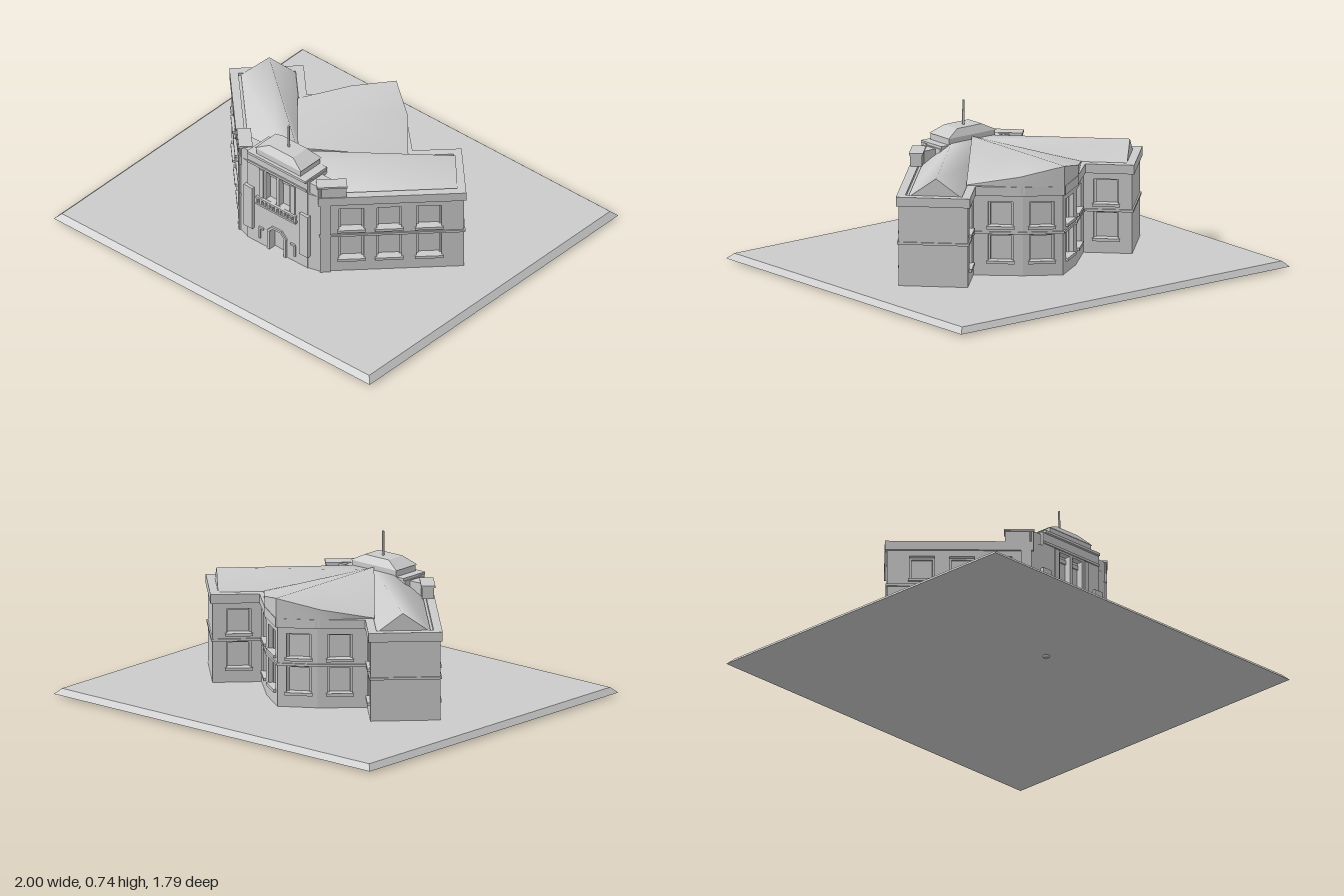
import * as THREE from 'three';

const GREY = new THREE.MeshStandardMaterial({ color: 0xcccccc, side: THREE.DoubleSide });
const BOTTOM = 0.03, EAVE = 0.475, RECESS = 0.033;

function add(parent, name, geometry, x = 0, y = 0, z = 0) {
  const mesh = new THREE.Mesh(geometry, GREY);
  mesh.name = name;
  mesh.position.set(x, y, z);
  parent.add(mesh);
  return mesh;
}

// Box given by its limits on each axis
function block(parent, name, x0, x1, y0, y1, z0, z1) {
  return add(parent, name, new THREE.BoxGeometry(x1 - x0, y1 - y0, z1 - z0),
    (x0 + x1) / 2, (y0 + y1) / 2, (z0 + z1) / 2);
}

// Truncated pyramid with a rectangular base
function frustum(parent, name, w0, d0, w1, d1, y0, y1, z) {
  const g = new THREE.BoxGeometry(1, y1 - y0, 1);
  const p = g.attributes.position;
  for (let i = 0; i < p.count; i++) {
    const top = p.getY(i) > 0;
    p.setX(i, p.getX(i) * (top ? w1 : w0));
    p.setZ(i, p.getZ(i) * (top ? d1 : d0));
  }
  g.computeVertexNormals();
  return add(parent, name, g, 0, (y0 + y1) / 2, z);
}

function rectPath(x0, x1, y0, y1, Kind = THREE.Path) {
  return new Kind([[x0, y0], [x1, y0], [x1, y1], [x0, y1]].map(p => new THREE.Vector2(...p)));
}

// Straight wall from a to b (x, z) whose outside is local +z, with recessed openings
function wall(parent, name, a, b, top, holes) {
  const dx = b[0] - a[0], dz = b[1] - a[1], length = Math.hypot(dx, dz);
  const group = new THREE.Group();
  group.name = name;
  group.position.set(a[0], 0, a[1]);
  group.rotation.y = Math.atan2(-dz, dx);
  const shape = rectPath(0, length, BOTTOM, top, THREE.Shape);
  shape.holes = holes;
  const g = new THREE.ExtrudeGeometry(shape, { depth: RECESS, bevelEnabled: false, curveSegments: 6 });
  add(group, name + 'Panel', g, 0, 0, -RECESS);
  block(group, 'windowPanes', 0.01, length - 0.01, BOTTOM, top - 0.005, -RECESS - 0.005, -RECESS);
  parent.add(group);
  return { group, length };
}

// Two-storey wall with evenly sized windows, sills, string course and cornice
function storeyWall(parent, name, a, b, centres) {
  const w = 0.059, rows = [[0.11, 0.238], [0.28, 0.4]];
  const holes = [];
  for (const c of centres) for (const [y0, y1] of rows) holes.push(rectPath(c - w, c + w, y0, y1));
  const { group, length } = wall(parent, name, a, b, 0.45, holes);
  for (const c of centres) for (const [y0, y1] of rows) {
    block(group, 'windowSill', c - w - 0.008, c + w + 0.008, y0 - 0.014, y0, -0.02, 0.012);
    for (const s of [-1, 1])
      block(group, 'windowFrame', c + s * (w - 0.005) - 0.005, c + s * (w - 0.005) + 0.005, y0, y1, -RECESS, -0.022);
    block(group, 'windowHead', c - w, c + w, y1 - 0.01, y1, -RECESS, -0.022);
  }
  block(group, 'stringCourse', -0.004, length + 0.004, 0.241, 0.253, -0.02, 0.007);
  block(group, 'cornice', -0.01, length + 0.01, 0.43, EAVE, -0.03, 0.011);
  return group;
}

// Smooth roof from a few corner points and faces
function roof(parent, name, points, faces) {
  const g = new THREE.BufferGeometry();
  g.setAttribute('position', new THREE.Float32BufferAttribute(points.flat(), 3));
  g.setIndex(faces.flat());
  g.computeVertexNormals();
  return add(parent, name, g);
}

// One half of the building, on the +x side
function buildHalf() {
  const half = new THREE.Group();
  half.name = 'wing';
  const front = storeyWall(half, 'wingFrontWall', [0.25, 0.395], [0.735, -0.09], [0.15, 0.33, 0.52]);
  storeyWall(half, 'wingEndWall', [0.735, -0.09], [0.5, -0.325], []);
  storeyWall(half, 'wingInnerWall', [0.5, -0.325], [0.335, -0.16], [0.125]);
  storeyWall(half, 'rearOuterWall', [0.335, -0.16], [0.16, -0.32], [0.13]);
  storeyWall(half, 'rearTipWall', [0.16, -0.32], [0, -0.425], [0.09]);
  wall(half, 'cantedWall', [0.19, 0.412], [0.25, 0.395], 0.475, []);

  // Raised attic beside the entrance tower and a corner pier
  block(front, 'attic', -0.01, 0.125, EAVE, 0.53, -0.05, 0.006);
  block(front, 'atticCap', -0.015, 0.13, 0.53, 0.54, -0.055, 0.012);
  block(front, 'cornerPier', 0, 0.05, BOTTOM, 0.44, -0.02, 0.01);
  block(half, 'sideParapet', 0.18, 0.26, 0.43, 0.535, 0.31, 0.4);

  // Gabled wing roof
  roof(half, 'wingRoof', [
    [0.685, 0.465, -0.1], [0.25, 0.465, 0.335], [0.59, 0.56, -0.195], [0.13, 0.56, 0.265],
    [0.5, 0.465, -0.285], [0, 0.465, 0.215], [0, 0.56, 0.27], [0, 0.465, 0.335],
  ], [[0, 2, 3], [0, 3, 1], [2, 4, 5], [2, 5, 6], [2, 6, 3], [1, 3, 6], [1, 6, 7]]);
  roof(half, 'wingGable', [[0.685, 0.465, -0.1], [0.5, 0.465, -0.285], [0.59, 0.56, -0.195]], [[0, 1, 2]]);
  return half;
}

function buildTower() {
  const tower = new THREE.Group();
  tower.name = 'entranceTower';
  // Front wall, with local x running from -0.19
  const c = 0.19;
  const door = new THREE.Path();
  door.moveTo(c - 0.045, 0.036);
  door.lineTo(c + 0.045, 0.036);
  door.lineTo(c + 0.045, 0.135);
  door.quadraticCurveTo(c + 0.045, 0.165, c + 0.015, 0.165);
  door.lineTo(c - 0.015, 0.165);
  door.quadraticCurveTo(c - 0.045, 0.165, c - 0.045, 0.135);
  door.closePath();
  wall(tower, 'towerFront', [-0.19, 0.415], [0.19, 0.415], 0.545,
    [door, rectPath(c - 0.075, c - 0.008, 0.315, 0.475), rectPath(c + 0.008, c + 0.075, 0.315, 0.475)]);
  block(tower, 'towerTop', -0.19, 0.19, 0.45, 0.54, 0.275, 0.383);

  // Door surround
  for (const s of [-1, 1]) {
    block(tower, 'doorJamb', s * 0.052 - 0.007, s * 0.052 + 0.007, BOTTOM, 0.14, 0.4, 0.424);
    const corner = block(tower, 'doorCorner', -0.022, 0.022, -0.006, 0.006, -0.012, 0.012);
    corner.position.set(s * 0.043, 0.155, 0.412);
    corner.rotation.z = -s * Math.PI / 4;
    block(tower, 'lampBracket', s * 0.1 - 0.014, s * 0.1 + 0.014, 0.128, 0.138, 0.41, 0.424);
    block(tower, 'lampPost', s * 0.11 - 0.005, s * 0.11 + 0.005, 0.07, 0.13, 0.41, 0.422);
    block(tower, 'pilaster', s * 0.175 - 0.027, s * 0.175 + 0.027, 0.11, 0.35, 0.4, 0.43);
    block(tower, 'upperPilaster', s * 0.1 - 0.013, s * 0.1 + 0.013, 0.315, 0.48, 0.405, 0.422);
  }
  block(tower, 'doorLintel', -0.032, 0.032, 0.165, 0.177, 0.4, 0.424);

  // Balcony
  block(tower, 'balconyFloor', -0.125, 0.125, 0.272, 0.282, 0.41, 0.432);
  block(tower, 'balconyRail', -0.125, 0.125, 0.308, 0.317, 0.418, 0.432);
  for (let i = 0; i < 11; i++)
    add(tower, 'baluster', new THREE.BoxGeometry(0.011, 0.03, 0.01), -0.119 + i * 0.0238, 0.295, 0.425);

  // Cornice and stepped cap
  block(tower, 'towerFrieze', -0.185, 0.185, 0.485, 0.497, 0.3, 0.421);
  block(tower, 'towerCornice', -0.185, 0.185, 0.54, 0.553, 0.27, 0.427);
  block(tower, 'capDrum', -0.14, 0.14, 0.553, 0.585, 0.268, 0.41);
  frustum(tower, 'capSlope', 0.29, 0.148, 0.15, 0.1, 0.585, 0.62, 0.339);
  add(tower, 'flagpole', new THREE.CylinderGeometry(0.005, 0.006, 0.13, 8), 0, 0.675, 0.335);
  return tower;
}

export function createModel() {
  const model = new THREE.Group();
  model.name = 'vShapedBuilding';

  frustum(model, 'groundSlab', 2, 1.79, 1.945, 1.735, 0.01, 0.037, -0.005);
  add(model, 'groundPin', new THREE.CylinderGeometry(0.018, 0.012, 0.012, 12), 0, 0.006, 0.25);

  const left = buildHalf();
  const right = buildHalf();
  right.scale.x = -1;
  model.add(left, right, buildTower());

  // Flat deck behind the parapets, following the whole footprint
  const outline = [[0, 0.39], [0.25, 0.385], [0.725, -0.09], [0.5, -0.315], [0.335, -0.15], [0.16, -0.31], [0, -0.415]];
  const ring = outline.concat(outline.slice(1, -1).reverse().map(([x, z]) => [-x, z]));
  const deck = new THREE.ExtrudeGeometry(new THREE.Shape(ring.map(([x, z]) => new THREE.Vector2(x, -z))),
    { depth: 0.02, bevelEnabled: false });
  deck.rotateX(-Math.PI / 2);
  add(model, 'roofDeck', deck, 0, 0.44, 0);

  // Rear roof: level ridge front to back, falling to the side corners
  roof(model, 'rearRoof', [
    [0, 0.575, 0.27], [0, 0.575, -0.44], [0.35, 0.475, -0.125], [-0.35, 0.475, -0.125],
    [0.18, 0.525, -0.318], [-0.18, 0.525, -0.318], [0, 0.575, -0.1],
  ], [[0, 2, 6], [2, 4, 6], [4, 1, 6], [0, 6, 3], [3, 6, 5], [5, 6, 1]]);
  for (const s of [-1, 1])
    roof(model, 'rearGable', [[0, 0.575, -0.437], [0, 0.46, -0.437], [s * 0.18, 0.46, -0.316],
      [s * 0.18, 0.525, -0.316], [s * 0.35, 0.475, -0.125], [s * 0.345, 0.46, -0.13], [0, 0.575, 0.27], [0, 0.46, 0.27]],
    s > 0 ? [[0, 2, 1], [0, 3, 2], [3, 5, 2], [3, 4, 5], [4, 6, 7], [4, 7, 5]]
      : [[0, 1, 2], [0, 2, 3], [3, 2, 5], [3, 5, 4], [4, 7, 6], [4, 5, 7]]);
  return model;
}
